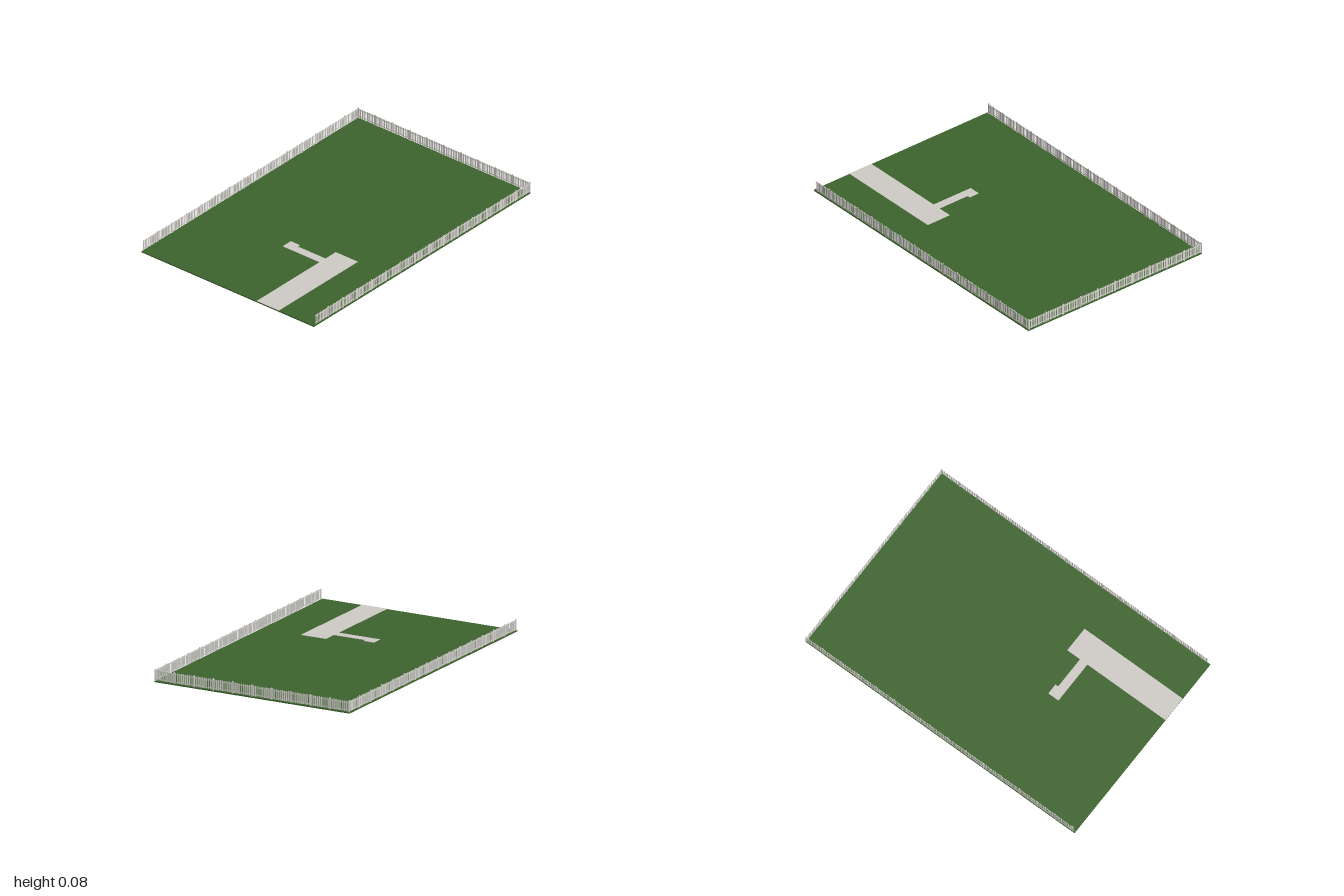
import * as THREE from 'three';
import { mergeGeometries } from 'three/addons/utils/BufferGeometryUtils.js';

const material = (name, color) => new THREE.MeshStandardMaterial({ name, color });

function box(w, h, d, x, y, z) {
  return new THREE.BoxGeometry(w, h, d).translate(x, y, z);
}

function slab(name, mat, x0, x1, z0, z1, y0, y1) {
  const mesh = new THREE.Mesh(
    box(x1 - x0, y1 - y0, z1 - z0, (x0 + x1) / 2, (y0 + y1) / 2, (z0 + z1) / 2), mat);
  mesh.name = name;
  return mesh;
}

// One picket with a pointed top, standing at x along the fence line
function picket(x, bottom, top, width, depth) {
  const s = new THREE.Shape();
  s.moveTo(-width / 2, bottom);
  s.lineTo(width / 2, bottom);
  s.lineTo(width / 2, top - 0.004);
  s.lineTo(0, top);
  s.lineTo(-width / 2, top - 0.004);
  s.closePath();
  return new THREE.ExtrudeGeometry(s, { depth, bevelEnabled: false })
    .translate(x, 0, -depth / 2);
}

// A straight fence along +x: posts every panel, two rails and evenly spaced pickets
function makeFence(name, mat, length, panel, offset = 0) {
  const group = new THREE.Group();
  group.name = name;
  const posts = [], rails = [], pickets = [];
  const perPanel = 10, step = panel / perPanel;
  for (let x = offset; x < length + 0.001; x += panel) {
    posts.push(box(0.006, 0.073, 0.005, x, 0.0425, 0));
    posts.push(new THREE.ConeGeometry(0.0045, 0.004, 4, 1)
      .rotateY(Math.PI / 4).translate(x, 0.081, 0));
  }
  for (const y of [0.02, 0.066]) rails.push(box(length, 0.005, 0.002, length / 2, y, 0));
  for (let x = offset + step / 2; x < length; x += step) {
    pickets.push(picket(x, 0.012, 0.077, 0.0075, 0.003));
  }
  for (const [part, list] of [['posts', posts], ['rails', rails], ['pickets', pickets]]) {
    const mesh = new THREE.Mesh(mergeGeometries(list), mat);
    mesh.name = part;
    group.add(mesh);
  }
  return group;
}

export function createModel() {
  const grass = material('grass green', 0x3d642d);
  const paving = material('paving grey', 0xcfccc7);
  const paint = material('fence off white', 0xd9d6d1);
  const model = new THREE.Group();
  model.name = 'fencedYard';

  // Lawn and paving
  model.add(
    slab('lawn', grass, -0.667, 0.667, -1, 1, 0, 0.007),
    slab('driveway', paving, 0.225, 0.395, 0.27, 1, 0.005, 0.0095),
    slab('footpath', paving, 0.01, 0.225, 0.365, 0.42, 0.005, 0.0095),
    slab('doorstep', paving, -0.06, 0.01, 0.345, 0.42, 0.005, 0.0095));

  // Fence on the back and both sides, open at the front
  const panel = 0.1328;
  const back = makeFence('backFence', paint, 1.328, panel);
  back.position.set(-0.664, 0, -0.997);
  const left = makeFence('leftFence', paint, 1.982, panel);
  left.rotation.y = -Math.PI / 2;
  left.position.set(0.664, 0, -0.997);
  const right = makeFence('rightFence', paint, 1.982, panel);
  right.rotation.y = Math.PI / 2;
  right.position.set(-0.664, 0, 0.985);
  model.add(back, left, right);
  return model;
}
